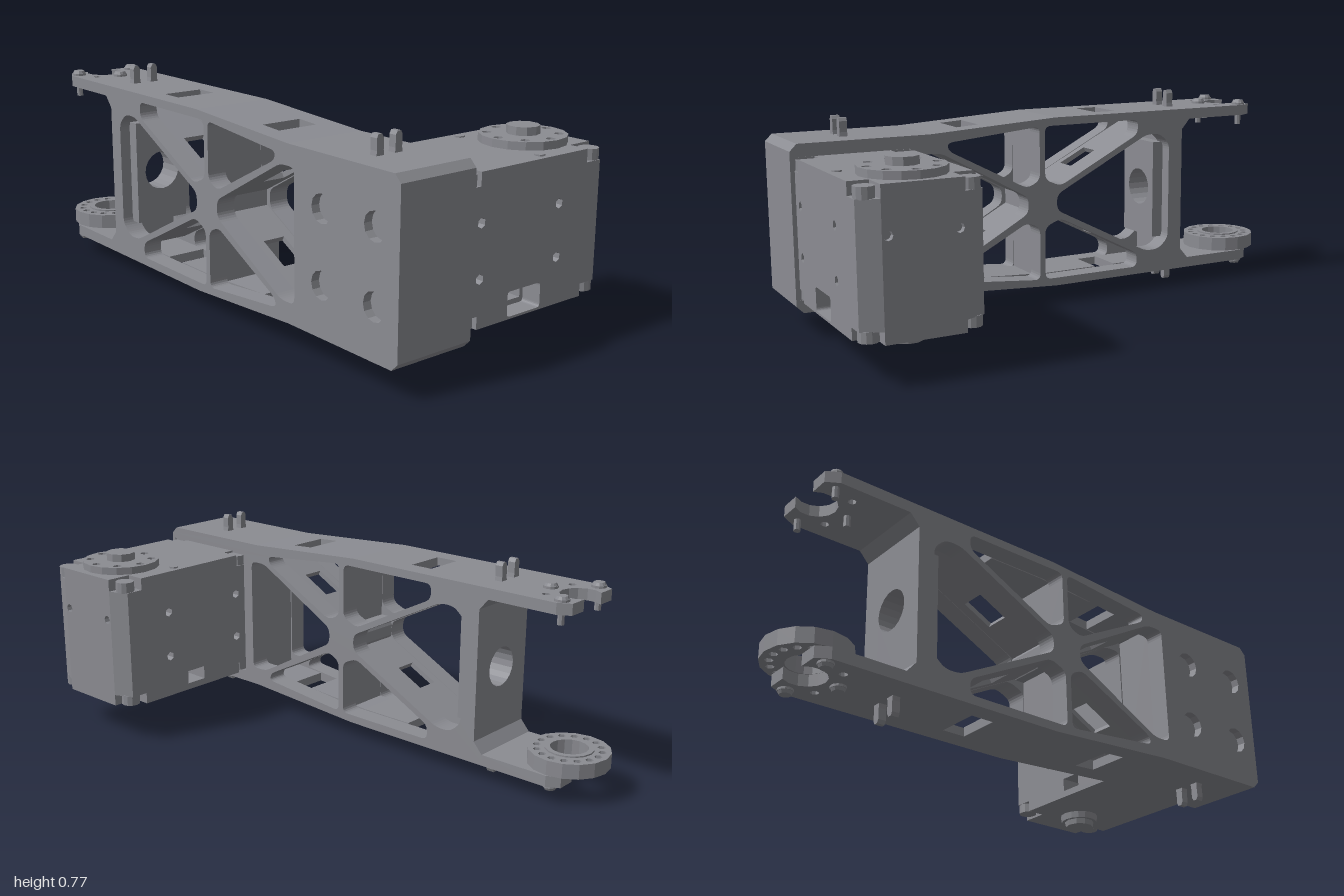
import * as THREE from 'three';

const MID = 0.39; // height of the horizontal symmetry plane
const X0 = -0.455, X1 = -0.385, X2 = -0.235, X3 = -0.16; // width layers of the arm
const AX = -0.308, AZ = -0.857; // joint axis at the rear
const HX = 0.288, HZ = 0.78; // actuator output axis

export function createModel() {
  const root = new THREE.Group();
  const mat = new THREE.MeshStandardMaterial({ color: 0x8b8c92, flatShading: true });
  let group = root;
  const part = (name) => {
    group = new THREE.Group();
    group.name = name;
    root.add(group);
  };
  const add = (geo, name) => {
    const m = new THREE.Mesh(geo, mat);
    m.name = name;
    group.add(m);
    return m;
  };
  const flip = (pts) => pts.map(([z, y]) => [z, 2 * MID - y]);
  const mirrored = (half) => [...half, ...flip(half).reverse()];
  // all outlines run counter-clockwise so that every wall faces outwards
  const ccw = (pts) => {
    const v = pts.map(([a, b]) => new THREE.Vector2(a, b));
    return THREE.ShapeUtils.isClockWise(v) ? v.reverse() : v;
  };
  const poly = (pts) => new THREE.Shape(ccw(pts));
  const circle = (x, y, r, n = 16) => poly(Array.from({ length: n }, (_, i) => {
    const a = (i / n) * Math.PI * 2;
    return [x + r * Math.cos(a), y + r * Math.sin(a)];
  }));
  const boltCircle = (x, y, r, n, hole, sides) => Array.from({ length: n }, (_, i) => {
    const a = (i / n) * Math.PI * 2;
    return circle(x + r * Math.cos(a), y + r * Math.sin(a), hole, sides);
  });
  // polygon with rounded corners
  const rounded = (pts, r) => {
    const s = new THREE.Shape();
    const v = ccw(pts);
    v.forEach((p, i) => {
      const toward = (q) => p.clone().lerp(q, Math.min(0.45, r / p.distanceTo(q)));
      const a = toward(v[(i + v.length - 1) % v.length]), b = toward(v[(i + 1) % v.length]);
      if (i) s.lineTo(a.x, a.y); else s.moveTo(a.x, a.y);
      s.quadraticCurveTo(p.x, p.y, b.x, b.y);
    });
    s.closePath();
    return s;
  };
  const extrude = (shape, holes, depth) => {
    shape.holes.push(...holes);
    return new THREE.ExtrudeGeometry(shape, { depth, bevelEnabled: false, curveSegments: 5 });
  };
  const neg = (pts) => pts.map(([z, y]) => [-z, y]);
  // (z, y) profile extruded over an x range
  const alongX = (name, pts, x0, x1, holes = []) =>
    add(extrude(poly(neg(pts)), holes, x1 - x0).rotateY(Math.PI / 2).translate(x0, 0, 0), name);
  // (x, y) profile extruded over a z range
  const alongZ = (name, shape, z0, z1, holes = []) =>
    add(extrude(shape, holes, z1 - z0).translate(0, 0, z0), name);
  // (x, -z) profile extruded over a y range
  const alongY = (name, shape, y0, y1, holes = []) =>
    add(extrude(shape, holes, y1 - y0).rotateX(-Math.PI / 2).translate(0, y0, 0), name);
  const rod = (name, x, y0, y1, z, r, n = 12, rBottom = r) =>
    add(new THREE.CylinderGeometry(r, rBottom, y1 - y0, n).translate(x, (y0 + y1) / 2, z), name);
  const rect = (a0, b0, a1, b1) => [[a0, b0], [a1, b0], [a1, b1], [a0, b1]];

  // Arm: outer truss layers
  part('armFrame');
  const outline = mirrored([[1, 0.655], [0.975, 0.68], [0.5, 0.68], [0, 0.71],
    [-0.62, 0.71], [-0.62, 0.67], [-0.6, 0.67], [-0.565, 0.63]]);
  const upperFront = [[0.435, 0.645], [0.067, 0.68], [0.067, 0.48], [0.12, 0.455], [0.43, 0.615]];
  const upperRear = [[0.045, 0.68], [-0.36, 0.68], [-0.36, 0.625], [-0.02, 0.452], [0.045, 0.48]];
  const windows = [
    mirrored([[0.53, 0.61], [0.46, 0.61], [0.115, 0.42]]),
    mirrored([[-0.505, 0.58], [-0.46, 0.62], [-0.4, 0.62], [-0.005, 0.42]]),
    upperFront, flip(upperFront), upperRear, flip(upperRear),
  ];
  const pocket = rect(0.575, 0.145, 0.985, 0.635);
  for (const [x0, x1] of [[X0, X1], [X2, X3]]) {
    alongX('sideTruss', outline, x0, x1,
      [poly(neg(pocket)), ...windows.map((w) => rounded(neg(w), 0.025))]);
  }

  // Arm: middle layer, open where the cable slots pass through
  alongX('frontFrame', mirrored([[1, 0.655], [0.975, 0.68], [0.535, 0.68]]), X1, X2, [poly(neg(pocket))]);
  const top = (z) => (z > 0.5 ? 0.68 : z > 0 ? 0.71 - 0.06 * z : 0.71);
  for (const [a, b] of [[0.535, 0.5], [0.5, 0.365], [0.28, 0], [0, -0.215], [-0.3, -0.565]]) {
    const strip = [[a, top(a)], [b, top(b)], [b, top(b) - 0.033], [a, top(a) - 0.033]];
    alongX('topPlate', strip, X1, X2);
    alongX('bottomPlate', flip(strip), X1, X2);
  }
  const rib = (a, b, t0, t1, x0, x1) => {
    const dz = b[0] - a[0], dy = b[1] - a[1], k = 0.0095 / Math.hypot(dz, dy);
    const at = (t, s) => [a[0] + dz * t - s * dy * k, a[1] + dy * t + s * dz * k];
    const pts = [at(t0, 1), at(t1, 1), at(t1, -1), at(t0, -1)];
    alongX('rib', pts, x0, x1);
    alongX('rib', flip(pts), x0, x1);
  };
  rib([0.056, MID], [0.056, 0.69], 0, 1, X1, X2);
  // diagonal ribs with a narrow cable slot between two rails
  for (const [a, b, t0, t1] of [[[0.056, 0.405], [0.51, 0.647], 0.394, 0.637],
    [[0.056, 0.402], [-0.43, 0.647], 0.383, 0.6]]) {
    rib(a, b, 0, 1, X1, -0.355);
    rib(a, b, 0, 1, -0.27, X2);
    rib(a, b, 0, t0, -0.355, -0.27);
    rib(a, b, t1, 1, -0.355, -0.27);
  }
  alongX('hub', mirrored([[0.1, 0.44], [0.01, 0.44], [-0.005, 0.41]]), X1, X2);
  const gusset = [[-0.565, 0.71], [-0.62, 0.71], [-0.62, 0.67], [-0.6, 0.67], [-0.565, 0.63]];
  alongX('gusset', gusset, X1, X2);
  alongX('gusset', flip(gusset), X1, X2);
  const bore = () => circle(AX, MID, 0.072, 20);
  alongZ('rearWall', poly(rect(X1, 0.075, X2, 0.705)), -0.565, -0.505, [bore()]);
  alongZ('rearWallPad', poly(rect(X1 - 0.03, 0.2, X2 + 0.03, 0.58)), -0.505, -0.46, [bore()]);

  // Closed outer panel behind the actuator
  const panelHoles = [];
  for (const z of [0.66, 0.897]) for (const y of [0.27, 0.51]) panelHoles.push(circle(-z, y, 0.047, 12));
  alongX('sidePanel', pocket, X0, X0 + 0.03, panelHoles);

  // Fork plates with a half-round notch
  part('rearFork');
  for (const y of [0.67, 0.07]) {
    const s = poly([[X0, 0.6], [X3, 0.6], [X3, 0.86], [-0.185, 0.905], [-0.254, 0.905]]);
    s.absarc(AX, 0.86, 0.07, Math.PI * 0.22, -Math.PI * 1.22, true);
    s.lineTo(-0.43, 0.905);
    s.lineTo(X0, 0.86);
    alongY('forkPlate', s, y, y + 0.04,
      [-1, 1].map((k) => circle(AX + k * 0.081, 0.779, 0.014, 8)));
  }
  for (const [x, z] of [[AX - 0.115, -0.86], [AX + 0.115, -0.86], [AX, -0.745]]) {
    rod('screwHead', x, 0.71, 0.718, z, 0.026);
    rod('screwHead', x, 0.718, 0.728, z, 0.019, 12, 0.024);
    rod('screwShaft', x, 0.63, 0.71, z, 0.012, 8);
    rod('screwHead', x, 0.062, 0.07, z, 0.026);
    rod('screwHead', x, 0.052, 0.062, z, 0.024, 12, 0.019);
    rod('screwShaft', x, 0.07, 0.125, z, 0.012, 8);
  }

  // Bearing ring on the lower fork
  const ringBore = () => circle(AX, -AZ, 0.066, 16);
  alongY('bearingRing', circle(AX, -AZ, 0.143), 0.11, 0.163,
    [ringBore(), ...boltCircle(AX, -AZ, 0.112, 16, 0.014, 6)]);
  alongY('bearingLip', circle(AX, -AZ, 0.085), 0.163, 0.168, [ringBore()]);

  // Cable hooks above and below the arm
  part('cableHooks');
  for (const [z, base, tip] of [[-0.57, 0.69, 0.775], [0.78, 0.66, 0.745]]) {
    for (const x of [-0.345, -0.272]) {
      const o = x < AX ? -1 : 1;
      const pts = [[-0.018, base], [-0.013, base + 0.035], [-0.013, tip - 0.012], [-0.006, tip],
        [0.008, tip], [0.014, tip - 0.012], [0.013, base + 0.035], [0.018, base]];
      const out = pts.map(([a, b]) => [x + a * o, b]);
      alongZ('hook', poly(out), z - 0.014, z + 0.014);
      alongZ('hook', poly(flip(out)), z - 0.014, z + 0.014);
    }
  }

  // Actuator body: full middle slice, corner-notched outer slices
  part('actuator');
  const B = 0.145, T = 0.634, E = 0.455;
  const smallWindow = () => poly(rect(0.067, 0.17, 0.15, 0.22));
  alongZ('body', poly(rect(-0.42, B, 0.435, T)), 0.645, 0.915, [smallWindow()]);
  alongX('endPlate', rect(0.645, B, 0.915, T), 0.435, E,
    [0.665, 0.895].map((z) => circle(-z, 0.478, 0.016, 8)));
  const notched = () => poly([[-0.42, B], [-0.165, B], [-0.165, 0.187], [-0.12, 0.187], [-0.12, B],
    [0.36, B], [0.36, 0.187], [E, 0.187], [E, 0.59], [0.36, 0.59], [0.36, T],
    [-0.12, T], [-0.12, 0.59], [-0.165, 0.59], [-0.165, T], [-0.42, T]]);
  for (const [z0, z1, hole] of [[0.575, 0.645, smallWindow()],
    [0.915, 0.985, rounded(rect(0.015, 0.153, 0.165, 0.235), 0.012)]]) {
    const holes = [hole];
    for (const x of [-0.113, 0.235]) for (const y of [0.303, 0.478]) {
      const hex = circle(0, 0, 0.017, 6).getPoints().map((p) => [x + p.y, y + p.x]);
      holes.push(poly(hex.slice(0, 6)));
    }
    const pos = alongZ('bodySide', notched(), z0, z1, holes).geometry.attributes.position;
    for (let i = 0; i < pos.count; i++) { // chamfered end edges
      if (pos.getX(i) > 0.45 && Math.abs(pos.getZ(i) - HZ) > 0.18) pos.setX(i, 0.425);
    }
    const z = (z0 + z1) / 2;
    for (const x of [-0.15, 0.408]) {
      rod('cornerBoss', x, 0.152, 0.19, z, 0.034);
      rod('cornerBoss', x, 0.588, 0.627, z, 0.034);
    }
    rod('topBolt', 0.173, T, T + 0.005, z, 0.017, 8);
  }

  // Output horn on top and idler below
  part('outputHorn');
  alongY('hornDisc', circle(HX, -HZ, 0.144), T, 0.661, boltCircle(HX, -HZ, 0.115, 8, 0.016, 8));
  rod('hornHub', HX, 0.661, 0.689, HZ, 0.055, 10);
  rod('idlerDisc', HX, 0.12, B, HZ, 0.074, 16, 0.07);
  rod('idlerHub', HX, 0.1, 0.12, HZ, 0.058, 10, 0.054);

  return root;
}
